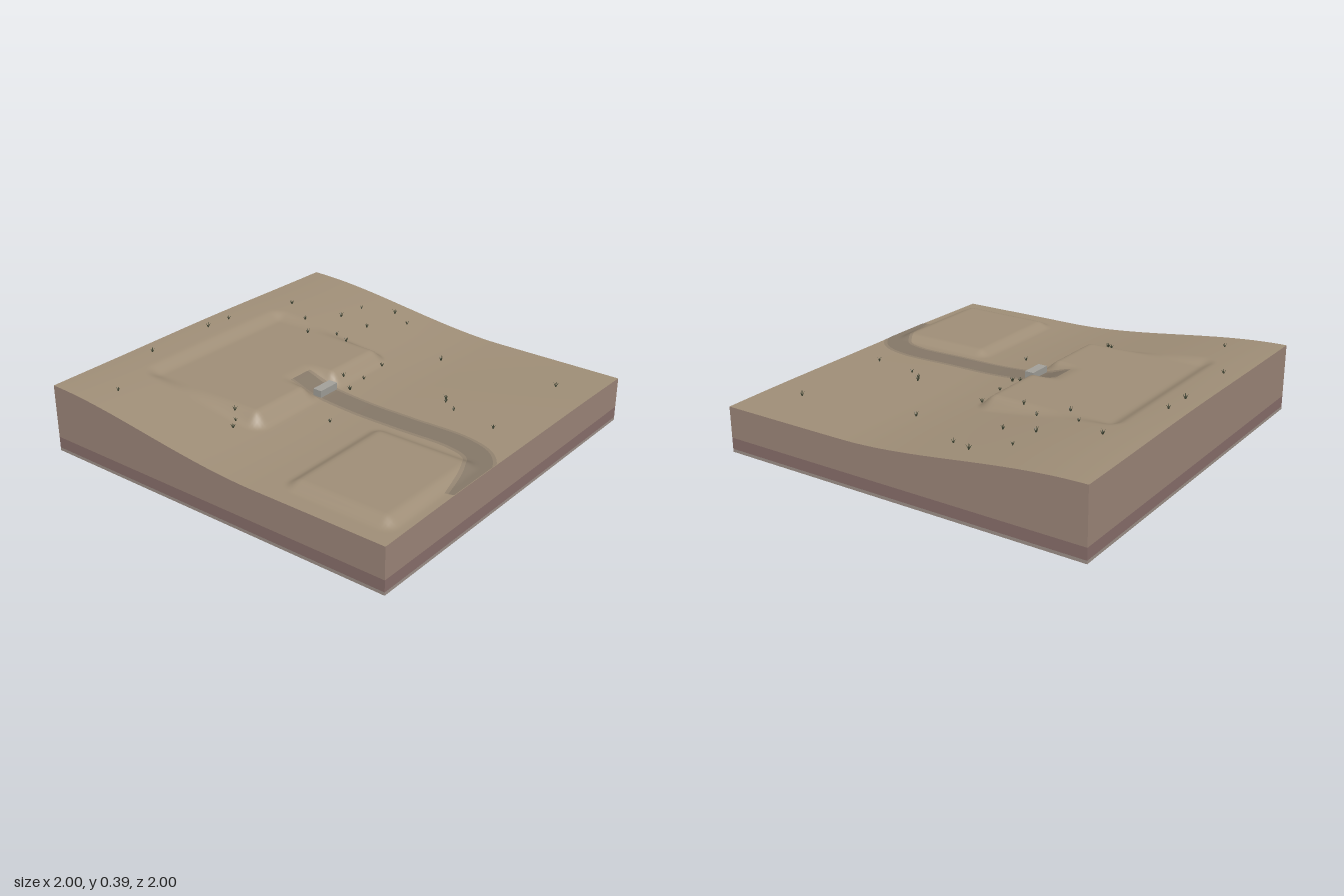
import * as THREE from 'three';
import { mergeGeometries } from 'three/addons/utils/BufferGeometryUtils.js';

const { lerp, smoothstep } = THREE.MathUtils;

const mat = (color, extra = {}) => new THREE.MeshStandardMaterial({ color, ...extra });

// Surface from fn(u, v) -> [x, y, z]; it faces u cross v
function sheet(nu, nv, fn) {
  const pos = [], index = [];
  for (let j = 0; j <= nv; j++)
    for (let i = 0; i <= nu; i++) pos.push(...fn(i / nu, j / nv));
  for (let j = 0; j < nv; j++)
    for (let i = 0; i < nu; i++) {
      const a = j * (nu + 1) + i, b = a + 1, c = a + nu + 1, d = c + 1;
      index.push(a, b, d, a, d, c);
    }
  const g = new THREE.BufferGeometry();
  g.setAttribute('position', new THREE.Float32BufferAttribute(pos, 3));
  g.setIndex(index);
  g.computeVertexNormals();
  return g;
}

// Levelled platforms: centre, half size of the flat top, ramp width, height
const pads = [
  { x: -0.1, z: -0.41, hx: 0.44, hz: 0.31, ramp: 0.09, y: 0.322 },
  { x: -0.56, z: 0.66, hx: 0.28, hz: 0.23, ramp: 0.075, y: 0.269 },
];

// Ground height: a gentle hillside, the platforms and the cut for the path
function ground(x, z) {
  let y = 0.237 + 0.118 * smoothstep(-z, -0.3, 1) + 0.007 * Math.cos(x * Math.PI / 2);
  y += 0.0015 * Math.sin(x * 5 + 1) * Math.sin(z * 4);
  for (const p of pads) {
    const dx = Math.max(0, Math.abs(x - p.x) - p.hx);
    const dz = Math.max(0, Math.abs(z - p.z) - p.hz);
    y = lerp(y, p.y, 1 - smoothstep(Math.hypot(dx, dz), 0, p.ramp));
  }
  const cut = 1 - smoothstep(Math.abs(x + 0.1), 0.06, 0.12);
  if (z > -0.28 && z < 0.1) {
    const rampY = 0.322 - 0.058 * smoothstep(z, -0.26, -0.02);
    y = lerp(y, Math.min(y, rampY), cut);
  }
  return y;
}

// Point on the square outline, going round anticlockwise seen from above
const corners = [[-1, 1], [1, 1], [1, -1], [-1, -1]];
function outline(t) {
  const s = (t * 4) % 4, i = Math.floor(s), a = corners[i], b = corners[(i + 1) % 4];
  return [lerp(a[0], b[0], s - i), lerp(a[1], b[1], s - i)];
}

export function createModel() {
  const model = new THREE.Group();
  const add = (name, geometry, material, parent = model) => {
    const m = new THREE.Mesh(geometry, material);
    m.name = name;
    parent.add(m);
    return m;
  };

  // Top surface
  add('terrain', sheet(128, 128, (u, v) => {
    const x = u * 2 - 1, z = 1 - v * 2;
    return [x, ground(x, z), z];
  }), mat(0xa08f78));

  // Soil layers around the sides
  const layers = [
    ['bedrockLayer', () => 0, () => 0.016, 0xa0938b],
    ['subsoilLayer', () => 0.016, () => 0.075, 0x8b716d],
    ['soilLayer', () => 0.075, ground, 0x9f887b],
  ];
  for (const [name, low, high, color] of layers)
    add(name, sheet(512, 1, (u, v) => {
      const [x, z] = outline(u);
      return [x, lerp(low(x, z), high(x, z), v), z];
    }), mat(color, { flatShading: true }));

  const base = add('underside', new THREE.PlaneGeometry(2, 2), mat(0x544e46));
  base.rotation.x = Math.PI / 2;

  // Worn path with a softer verge, draped on the ground
  const route = new THREE.CatmullRomCurve3(
    [[-0.1, -0.2], [-0.1, 0.1], [-0.1, 0.45], [-0.1, 0.75], [-0.15, 0.89], [-0.28, 0.97], [-0.5, 1.03]]
      .map(([x, z]) => new THREE.Vector3(x, 0, z)));
  const strip = (width, lift) => sheet(8, 140, (u, v) => {
    const p = route.getPointAt(v), t = route.getTangentAt(v), s = (u - 0.5) * width;
    const x = p.x - t.z * s, z = Math.min(p.z + t.x * s, 0.999);
    return [x, ground(x, z) + lift, z];
  });
  add('pathVerge', strip(0.15, 0.0015), mat(0x928370));
  add('path', strip(0.115, 0.0025), mat(0x857868));

  // Stone step where the path meets the upper platform
  const step = add('stoneStep', new THREE.BoxGeometry(0.125, 0.036, 0.05), mat(0xa3a19b));
  step.position.set(-0.105, 0.287, -0.035);

  // Grass tufts: upright blades leaning outwards
  const blades = [];
  for (let i = 0; i < 5; i++) {
    const blade = new THREE.ConeGeometry(0.0035, i ? 0.026 : 0.032, 3);
    blade.translate(0, 0.012, 0);
    blade.rotateZ(i ? 0.5 : 0);
    blade.rotateY(i * Math.PI / 2 + 0.4);
    blades.push(blade);
  }
  const tuftGeometry = mergeGeometries(blades);
  const tuftMaterial = mat(0x454a38, { flatShading: true });
  const grass = new THREE.Group();
  grass.name = 'grass';
  model.add(grass);
  const spots = [
    [-0.83, -0.73], [-0.43, -0.91], [-0.02, -0.91], [0.13, -0.9], [0.53, -0.79], [0.43, -0.61],
    [0.32, -0.5], [0.61, -0.5], [0.42, -0.38], [0.36, -0.27], [0.78, -0.49], [0.62, -0.33],
    [0.88, -0.33], [0.83, -0.21], [0.33, -0.01], [0.15, 0.01], [0.06, -0.05], [0.01, 0.03],
    [-0.31, 0.16], [0.61, 0.17], [0.16, 0.55], [0.21, 0.47], [0.24, 0.45], [0.12, 0.8],
    [0.71, 0.8], [-0.62, -0.16], [-0.58, -0.2], [-0.67, -0.13],
  ];
  spots.forEach(([x, z], i) => {
    const tuft = add('grassTuft', tuftGeometry, tuftMaterial, grass);
    tuft.position.set(x, ground(x, z), z);
    tuft.rotation.y = i * 1.7;
    tuft.scale.setScalar(0.9 + 0.25 * ((i * 7) % 5) / 4);
  });

  return model;
}
